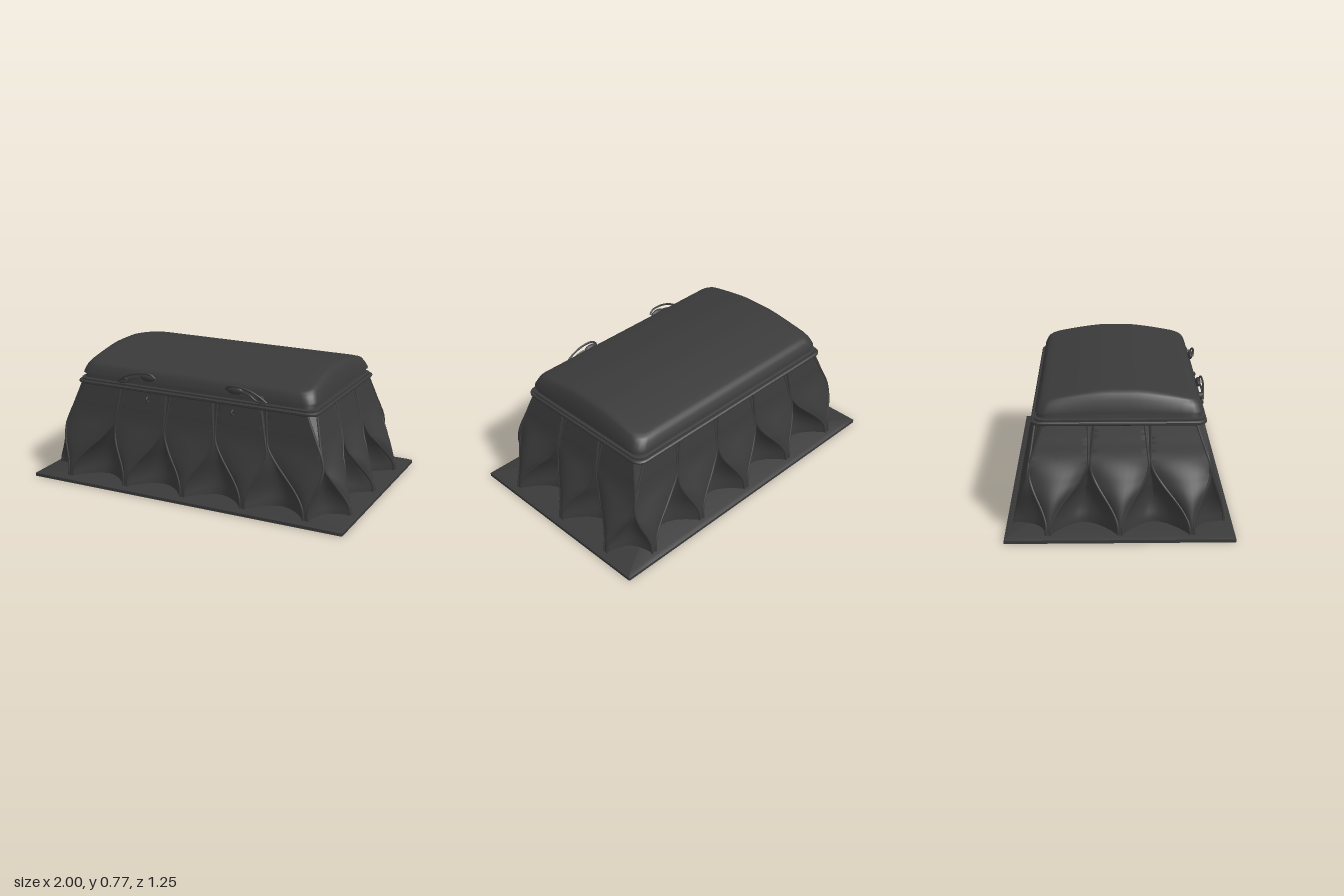
import * as THREE from 'three';
import { toCreasedNormals } from 'three/addons/utils/BufferGeometryUtils.js';

const material = new THREE.MeshStandardMaterial({ color: 0x3a3a3a });
const V = (x, y, z) => new THREE.Vector3(x, y, z);
const smooth = THREE.MathUtils.smoothstep;

function part(parent, name, geometry) {
  const mesh = new THREE.Mesh(geometry, material);
  mesh.name = name;
  parent.add(mesh);
  return mesh;
}

// Skins a stack of closed rings, listed bottom to top, counterclockwise from above
function loft(rings, crease) {
  const n = rings[0].length, index = [];
  for (let j = 0; j < rings.length - 1; j++) {
    for (let i = 0; i < n; i++) {
      const a = j * n + i, b = j * n + (i + 1) % n;
      index.push(a, b, b + n, a, b + n, a + n);
    }
  }
  const g = new THREE.BufferGeometry().setFromPoints(rings.flat());
  g.setIndex(index);
  return toCreasedNormals(g, crease);
}

// Rounded rectangle ring; height is a function of z
function roundedRing(hx, hz, r, height) {
  const pts = [], corners = [[1, 1, 90], [1, -1, 0], [-1, -1, -90], [-1, 1, -180]];
  const arcs = corners.map(([sx, sz, a0]) => {
    const c = [];
    for (let k = 0; k <= 5; k++) {
      const a = THREE.MathUtils.degToRad(a0 - k * 18);
      c.push([sx * (hx - r) + r * Math.cos(a), sz * (hz - r) + r * Math.sin(a)]);
    }
    return c;
  });
  arcs.forEach((c, i) => {
    const end = c[5], next = arcs[(i + 1) % 4][0];
    c.forEach(([x, z]) => pts.push(V(x, height(z), z)));
    for (let k = 1; k < 14; k++) {
      const t = k / 14, z = end[1] + (next[1] - end[1]) * t;
      pts.push(V(end[0] + (next[0] - end[0]) * t, height(z), z));
    }
  });
  return pts;
}

// Closed rounded slab from [halfX, halfZ, y] levels
function slab(levels, r) {
  const rings = levels.map(([x, z, y]) => roundedRing(x, z, r, () => y));
  const cap = (y) => rings[0].map(() => V(0, y, 0));
  return loft([cap(levels[0][2]), ...rings, cap(levels.at(-1)[2])], 0.5);
}

// Outer envelope of the body: (halfX, y, halfZ)
const envelope = new THREE.CatmullRomCurve3([
  V(0.962, 0.02, 0.584), V(0.953, 0.1, 0.576), V(0.925, 0.2, 0.557), V(0.874, 0.3, 0.526),
  V(0.816, 0.4, 0.492), V(0.785, 0.5, 0.475), V(0.758, 0.595, 0.46)]);

// Wall panels around the body, as centre, direction and half width on a unit rectangle
const panels = [];
for (let side = 0; side < 4; side++) {
  const long = side % 2 === 0, n = long ? 5 : 3, s = side < 2 ? 1 : -1;
  for (let i = 0; i < n; i++) {
    const t = ((2 * i + 1) / n - 1) * s, last = i === n - 1;
    panels.push({
      c: long ? [t, s] : [s, -t], d: long ? [s, 0] : [0, -s], h: 1 / n,
      first: i === 0, last, depth: last ? 0.06 : long ? 0.125 : 0.165,
      bow: long ? 0.014 : 0.034, tip: long ? 0.07 : 0.055,
    });
  }
}

// Share of its panel that the wall face fills: wide on top, an ogee tip below
function fill(p, y, corner) {
  if (y < 0.4) return p.tip + (0.97 - p.tip) * smooth(y, 0.06, 0.4);
  return 0.97 - (corner ? 0.25 : 0.08) * (y - 0.4) / 0.19;
}

// Point on a wall face, s from -1 to 1; the lower face bows back toward its edges
function facePoint(p, e, s) {
  const k = s * p.h * fill(p, e.y, s < 0 ? p.first : p.last);
  const back = p.bow * s * s * smooth(e.y, 0.04, 0.22) * (1 - smooth(e.y, 0.29, 0.41));
  return V((p.c[0] + p.d[0] * k) * e.x + p.d[1] * back, e.y,
    (p.c[1] + p.d[1] * k) * e.z - p.d[0] * back);
}

// One horizontal section: faces joined by hollow niches that vault back below each peak
function bodyRing(e) {
  const pts = [];
  panels.forEach((p, i) => {
    const b = facePoint(p, e, 1), next = facePoint(panels[(i + 1) % panels.length], e, -1);
    for (let k = 0; k < 8; k++) pts.push(facePoint(p, e, k / 4 - 1));
    const inward = V(next.z - b.z, 0, b.x - next.x).normalize();
    const depth = p.depth * (1 - smooth(e.y, 0.08, 0.4)) ** 0.8 + (p.last ? 0 : 0.006);
    for (let k = 0; k < 12; k++) {
      const q = Math.abs(k / 6 - 1);
      pts.push(b.clone().lerp(next, k / 12).addScaledVector(inward, depth * (1 - q ** 1.8)));
    }
  });
  return pts;
}

function tube(parent, name, points, radius, segments = 24, sides = 6) {
  return part(parent, name, new THREE.TubeGeometry(new THREE.CatmullRomCurve3(points), segments, radius, sides));
}

export function createModel() {
  const model = new THREE.Group();
  model.name = 'roofHatch';

  part(model, 'basePlate', slab([[1, 0.625, 0], [1, 0.625, 0.018], [0.97, 0.602, 0.029]], 0.004));

  // Fluted body
  const levels = [];
  for (let j = 0; j <= 44; j++) levels.push(envelope.getPoint(j / 44));
  part(model, 'body', loft(levels.map(bodyRing), 0.5));

  // Raised bands along the edges of every wall face
  const bands = new THREE.Group();
  bands.name = 'edgeBands';
  model.add(bands);
  for (const p of panels) {
    for (const s of [-1, 1]) {
      const path = levels.filter((_, j) => j % 2 === 0)
        .map((e) => facePoint(p, e, s).add(V(p.d[1] * 0.003, 0, -p.d[0] * 0.003)));
      tube(bands, 'edgeBand', path, 0.008, 30, 6);
    }
  }

  // Rim and lid seal
  const rim = part(model, 'rim', slab([[0.755, 0.46, 0.582], [0.77, 0.474, 0.587], [0.775, 0.48, 0.592],
    [0.775, 0.48, 0.602], [0.768, 0.473, 0.608]], 0.06));
  rim.position.z = -0.003;
  part(model, 'seal', slab([[0.762, 0.466, 0.607], [0.762, 0.466, 0.618], [0.746, 0.452, 0.622],
    [0.74, 0.446, 0.655]], 0.06));

  // Lid, arched from front to back
  const arch = (z) => 0.77 - 0.056 * (Math.max(0, Math.abs(z) - 0.08) / 0.345) ** 1.35;
  const rise = (t) => (z) => 0.648 + (arch(z) - 0.648) * t;
  const lid = [[0.735, 0.44, 0], [0.755, 0.459, 0], [0.753, 0.457, 0.15], [0.737, 0.445, 0.6],
    [0.722, 0.434, 0.86], [0.711, 0.424, 0.96], [0.69, 0.405, 1]]
    .map(([x, z, t]) => roundedRing(x, z, 0.065, rise(t)));
  for (let k = 11; k >= 0; k--) {
    const s = k / 12;
    lid.push(roundedRing(0.69 * s, 0.405 * s, 0.065 * s, arch));
  }
  part(model, 'lid', loft(lid, 0.7));

  // Latches with their catch hooks on the front
  for (const s of [-1, 1]) {
    const latch = new THREE.Group();
    latch.name = s > 0 ? 'leftLatch' : 'rightLatch';
    model.add(latch);
    tube(latch, 'latchBar', [V(s * 0.48, 0.632, 0.474), V(s * 0.44, 0.662, 0.48), V(s * 0.38, 0.69, 0.484),
      V(s * 0.31, 0.704, 0.484), V(s * 0.25, 0.7, 0.48), V(s * 0.228, 0.68, 0.474)], 0.006);
    tube(latch, 'latchArm', [V(s * 0.47, 0.63, 0.472), V(s * 0.42, 0.637, 0.478), V(s * 0.38, 0.662, 0.478),
      V(s * 0.33, 0.676, 0.472)], 0.006);
    const handle = part(latch, 'latchHandle', new THREE.SphereGeometry(1, 16, 10));
    handle.scale.set(0.05, 0.024, 0.016);
    handle.position.set(s * 0.28, 0.677, 0.464);
    const pivot = part(latch, 'latchPivot', new THREE.CylinderGeometry(0.02, 0.02, 0.03, 16));
    pivot.rotation.x = Math.PI / 2;
    pivot.position.set(s * 0.44, 0.645, 0.463);
    const hook = part(latch, 'catchHook', new THREE.TorusGeometry(0.015, 0.005, 8, 20, 5.2));
    hook.rotation.y = Math.PI / 2;
    hook.position.set(s * 0.275, 0.55, 0.481);
  }
  return model;
}
